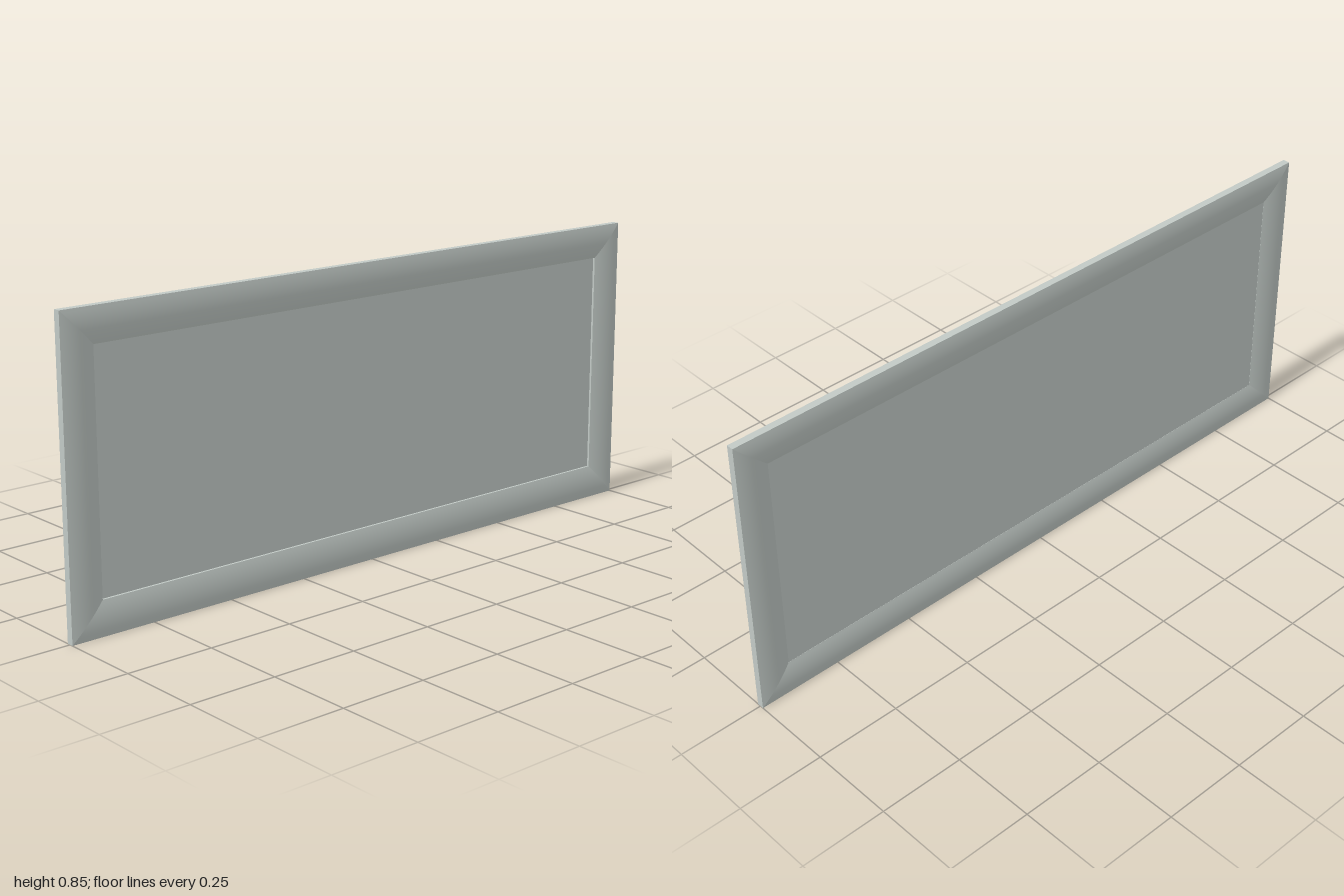
import * as THREE from 'three';

const W = 2, H = 0.85, BAR = 0.097;

// One smooth strip of a mitred bar: profile points are [inset, z], bar runs along x at the bottom edge.
function strip(profile, length, material) {
  const pos = [], index = [];
  profile.forEach(([d, z], i) => {
    pos.push(-length / 2 + d, d, z, length / 2 - d, d, z);
    if (i > 0) {
      const a = 2 * (i - 1);
      index.push(a, a + 1, a + 3, a, a + 3, a + 2);
    }
  });
  const geo = new THREE.BufferGeometry();
  geo.setAttribute('position', new THREE.Float32BufferAttribute(pos, 3));
  geo.setIndex(index);
  geo.computeVertexNormals();
  return new THREE.Mesh(geo, material);
}

// Shallow rounded face from the outer edge to the inner edge
function roundedFace(side) {
  const curve = new THREE.QuadraticBezierCurve(
    new THREE.Vector2(0, 0.0105),
    new THREE.Vector2(BAR / 2, 0.0195),
    new THREE.Vector2(BAR, 0.006)
  );
  const points = curve.getPoints(12).map(p => [p.x, side * p.y]);
  return side > 0 ? points : points.reverse();
}

export function createModel() {
  const model = new THREE.Group();
  const grey = new THREE.MeshStandardMaterial({ color: 0xc2cac6 });
  grey.name = 'pale grey green';

  // Four mitred frame bars, each with front, back, outer wall and inner lip
  const bars = [
    ['bottomRail', W, 0, 0, 0],
    ['leftStile', H, W / 2, H / 2, Math.PI / 2],
    ['topRail', W, 0, H, Math.PI],
    ['rightStile', H, -W / 2, H / 2, -Math.PI / 2],
  ];
  for (const [name, length, x, y, angle] of bars) {
    const bar = new THREE.Group();
    bar.name = name;
    const parts = {
      front: roundedFace(1),
      back: roundedFace(-1),
      outerWall: [[0, -0.0105], [0, 0.0105]],
      innerLip: [[BAR, 0.006], [BAR, -0.006]],
    };
    for (const [part, profile] of Object.entries(parts)) {
      const mesh = strip(profile, length, grey);
      mesh.name = name + ' ' + part;
      bar.add(mesh);
    }
    bar.position.set(x, y, 0);
    bar.rotation.z = angle;
    model.add(bar);
  }

  // Recessed panel, set closer to the back of the frame
  const panel = new THREE.Mesh(
    new THREE.BoxGeometry(W - 2 * BAR, H - 2 * BAR, 0.005), grey);
  panel.name = 'panel';
  panel.position.set(0, H / 2, -0.003);
  model.add(panel);

  return model;
}
